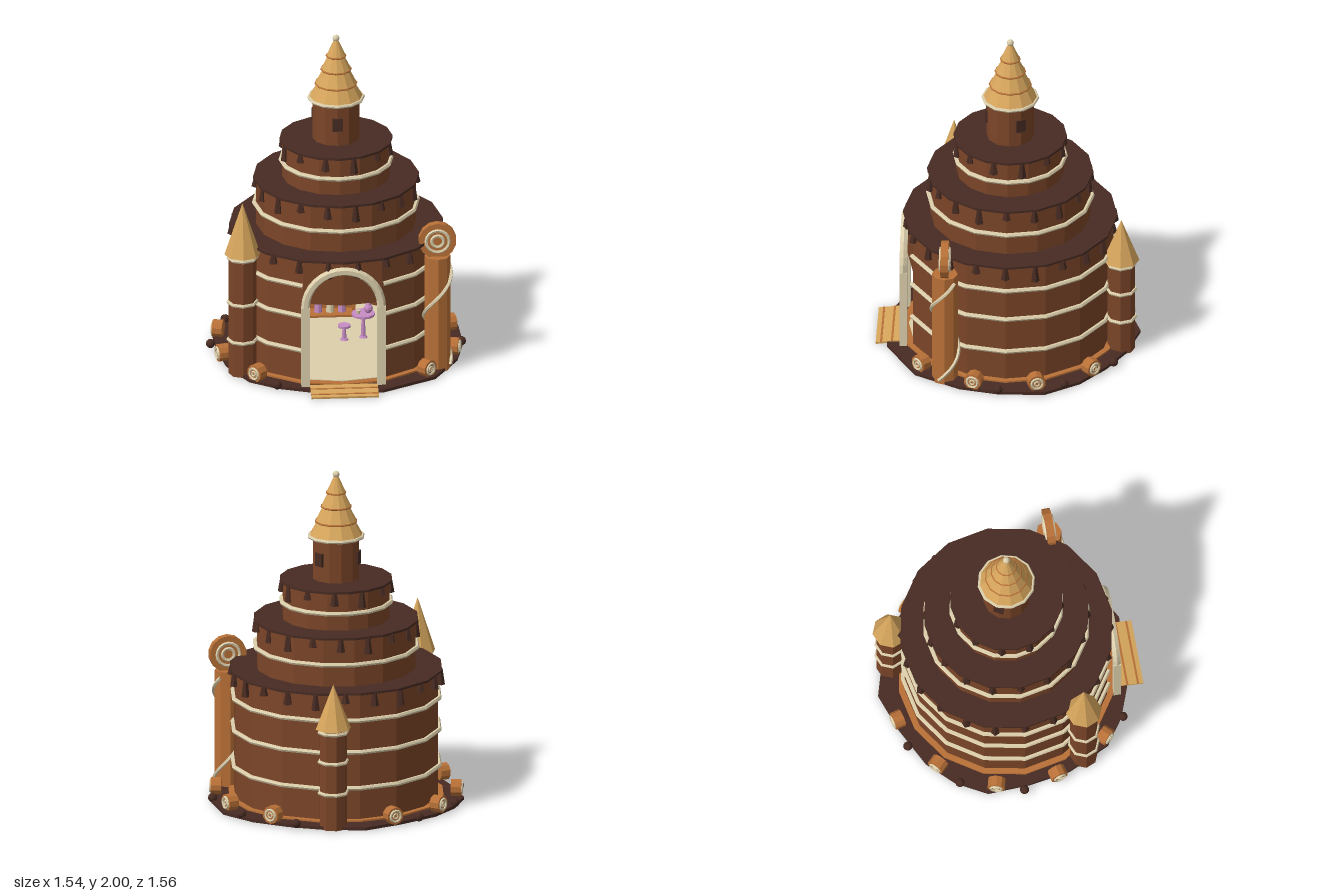
import * as THREE from 'three';

const mat = (name, color, double) => {
  const m = new THREE.MeshStandardMaterial({ color });
  m.name = name;
  if (double) m.side = THREE.DoubleSide;
  return m;
};

export function createModel() {
  const root = new THREE.Group();
  root.name = 'cakeTower';
  const choc = mat('milkChocolate', 0x7b4528, true);
  const dark = mat('darkChocolate', 0x472b22);
  const cream = mat('creamIcing', 0xdccfac);
  const caramel = mat('caramel', 0xb87037);
  const wafer = mat('wafer', 0xd6a55c);
  const pink = mat('pinkSugar', 0xc68cc4);
  const { PI, sin, cos } = Math;

  // Faceted mesh helper
  const add = (name, geo, material, x = 0, y = 0, z = 0, parent = root) => {
    const g = geo.index ? geo.toNonIndexed() : geo;
    g.computeVertexNormals();
    const m = new THREE.Mesh(g, material);
    m.name = name;
    m.position.set(x, y, z);
    parent.add(m);
    return m;
  };
  const group = (name, x, y, z, turn = 0) => {
    const g = new THREE.Group();
    g.name = name;
    g.position.set(x, y, z);
    g.rotation.y = turn;
    root.add(g);
    return g;
  };
  const cyl = (rTop, rBottom, h, n) => new THREE.CylinderGeometry(rTop, rBottom, h, n);
  const box = (w, h, d) => new THREE.BoxGeometry(w, h, d);
  // Horizontal icing ring, optionally open by two segments at the front
  const ring = (r, t, n, open) => {
    const gap = open ? PI / 8 : 0;
    return new THREE.TorusGeometry(r, t, 6, open ? n - 2 : n, 2 * PI - 2 * gap)
      .rotateZ(PI / 2 + gap).rotateX(PI / 2);
  };

  // Uneven chocolate puddle under everything
  const outline = [[0, -.77], [.24, -.7], [.43, -.59], [.61, -.44], [.74, -.24], [.75, .03], [.7, .27],
    [.55, .54], [.23, .72], [-.2, .69], [-.39, .62], [-.55, .51], [-.67, .26], [-.71, .01],
    [-.72, -.24], [-.62, -.42], [-.47, -.57], [-.23, -.69]];
  const puddle = new THREE.Shape(outline.map(([x, z]) => new THREE.Vector2(x, -z)));
  add('puddleBase', new THREE.ExtrudeGeometry(puddle, { depth: .018, bevelEnabled: false })
    .rotateX(-PI / 2), dark, 0, .002, 0);
  add('caramelBase', cyl(.645, .645, .03, 16), caramel, 0, .015, 0);
  add('floor', cyl(.6, .6, .004, 16), cream, 0, .032, 0);

  // Lowest tier: wall open at the doorway, with wall above the door
  add('lowerWall', new THREE.CylinderGeometry(.61, .61, .77, 14, 1, true, PI / 8, 2 * PI - PI / 4),
    choc, 0, .415, 0);
  add('doorLintelWall', new THREE.CylinderGeometry(.61, .61, .28, 2, 1, true, -PI / 8, PI / 4),
    choc, 0, .66, 0);
  for (const y of [.22, .44, .635]) add('lowerIcing', ring(.618, .014, 16, true), cream, 0, y, 0);

  // Upper tiers
  add('middleTier', cyl(.475, .475, .3, 16), choc, 0, .95, 0);
  add('middleIcing', ring(.485, .014, 16), cream, 0, .94, 0);
  add('topTier', cyl(.32, .32, .24, 16), choc, 0, 1.22, 0);
  add('topIcing', ring(.327, .014, 16), cream, 0, 1.21, 0);

  // Chocolate glaze lids with drips
  for (const [r, y, n] of [[.635, .8, 22], [.492, 1.1, 18], [.336, 1.34, 12]]) {
    add('glaze', cyl(r, r, .014, 16), dark, 0, y, 0);
    for (let i = 0; i < n; i++) {
      const a = (i + .5) / n * 2 * PI;
      const h = [.1, .055, .08][i % 3];
      add('drip', cyl(.013, .027, h, 5), dark, (r - .018) * sin(a), y - h / 2, (r - .018) * cos(a))
        .rotation.y = a;
    }
  }

  // Spire
  add('spireBody', cyl(.14, .14, .27, 12), choc, 0, 1.475, 0);
  for (let i = 0; i < 3; i++) {
    const a = i * 2 * PI / 3;
    add('window', box(.06, .08, .02), dark, .135 * sin(a), 1.48, .135 * cos(a)).rotation.y = a;
  }
  const roof = [[1.6, .165, 1.7, .108], [1.69, .126, 1.79, .075], [1.78, .092, 1.87, .047], [1.865, .06, 1.98, .008]];
  roof.forEach(([y0, r0, y1, r1], i) => {
    add('spireRoof', cyl(r1, r0, y1 - y0, 12), wafer, 0, (y0 + y1) / 2, 0);
    add('roofTrim', ring(r0 - .004, i ? .006 : .011, 12), i ? caramel : cream, 0, y0 + .004, 0);
  });
  add('finial', new THREE.IcosahedronGeometry(.021, 1), cream, 0, 1.98, 0);

  // Side turrets
  const turret = (x, z, h, tip, rings) => {
    const g = group('turret', x, 0, z);
    add('turretBody', cyl(.082, .082, h, 8), choc, 0, h / 2 + .002, 0, g);
    add('turretRoof', new THREE.ConeGeometry(.107, tip - h, 8), wafer, 0, (tip + h) / 2, 0, g);
    for (const y of rings) add('turretIcing', ring(.084, .012, 8), cream, 0, y, 0, g);
  };
  turret(-.58, .36, .765, 1.09, [.22, .46, .745]);
  turret(.175, -.665, .61, .88, [.22, .41, .59]);

  // Biscuit pillar with spiral icing and a round sweet on top
  const pillar = group('biscuitPillar', .575, 0, .36);
  add('pillarShaft', cyl(.077, .077, .72, 8), caramel, 0, .362, 0, pillar);
  const spiral = [];
  for (let y = .03; y <= .72; y += .03) {
    const a = (y - .48) / .55 * 2 * PI;
    spiral.push(new THREE.Vector3(.082 * sin(a), y, .082 * cos(a)));
  }
  add('spiralIcing', new THREE.TubeGeometry(new THREE.CatmullRomCurve3(spiral), 48, .011, 5),
    cream, 0, 0, 0, pillar);
  add('sweet', cyl(.112, .112, .046, 14).rotateX(PI / 2), caramel, 0, .82, 0, pillar);
  for (const s of [-1, 1]) for (const r of [.068, .035])
    add('sweetSwirl', new THREE.TorusGeometry(r, .01, 5, 16), cream, 0, .82, s * .024, pillar);

  // Biscuit rolls around the foot
  for (const deg of [45, 75, 105, 135, 195, 225, 255, 285, 315]) {
    const a = deg * PI / 180;
    const g = group('roll', .71 * sin(a), .062, .71 * cos(a), a);
    add('rollBody', cyl(.053, .053, .062, 10).rotateX(PI / 2), caramel, 0, 0, 0, g);
    add('rollIcing', new THREE.TorusGeometry(.033, .008, 5, 12), cream, 0, 0, .032, g);
    add('rollCentre', new THREE.TorusGeometry(.014, .006, 5, 8), cream, 0, 0, .032, g);
  }
  // Chocolate balls between the rolls
  for (const deg of [87, 118, 148, 208, 238, 268, 328]) {
    const a = deg * PI / 180;
    add('chocolateBall', new THREE.IcosahedronGeometry(.028, 1), dark, .742 * sin(a), .032, .742 * cos(a));
  }

  // Doorway arch
  for (const s of [-1, 1]) add('archPost', box(.05, .5, .044), cream, s * .225, .27, .622);
  add('arch', new THREE.TorusGeometry(.225, .026, 6, 16, PI), cream, 0, .52, .622);

  // Ramp of wafer slats
  const ramp = group('ramp', 0, .015, .715);
  ramp.rotation.x = .13;
  add('rampSlab', box(.4, .012, .145), wafer, 0, 0, 0, ramp);
  for (const z of [-.025, .04]) add('rampStripe', box(.4, .004, .012), caramel, 0, .006, z, ramp);

  // Open door leaf with raised frame
  const door = group('doorLeaf', -.215, .04, .36);
  add('doorPanel', box(.02, .47, .38), dark, 0, .235, 0, door);
  for (const z of [-.18, 0, .18]) add('doorStile', box(.03, .47, .02), choc, 0, .235, z, door);
  for (const y of [.01, .235, .46]) add('doorRail', box(.03, .02, .38), choc, 0, y, 0, door);

  // Shelf inside with jars
  const shelf = group('shelf', -.005, .034, -.42);
  add('shelfBack', box(.29, .305, .015), caramel, 0, .153, -.06, shelf);
  for (const s of [-1, 1]) add('shelfSide', box(.015, .305, .12), caramel, s * .138, .153, 0, shelf);
  for (const y of [.008, .15, .27, .3]) add('shelfBoard', box(.28, .013, .12), caramel, 0, y, 0, shelf);
  [-.07, 0, .07].forEach((x, i) => {
    add('jar', cyl(.02, .024, .06, 8), i === 1 ? pink : cream, x, .187, 0, shelf);
    add('jar', cyl(.02, .024, .06, 8), i === 1 ? cream : pink, x, .045, 0, shelf);
  });

  // Tea table and stool
  const place = (name, x, z, h, r) => {
    const g = group(name, x, .034, z);
    add(name + 'Top', cyl(r, r, .014, 12), pink, 0, h, 0, g);
    add(name + 'Leg', cyl(.01, .014, h, 8), pink, 0, h / 2, 0, g);
    add(name + 'Foot', cyl(.02, .026, .01, 8), pink, 0, .006, 0, g);
    return g;
  };
  const table = place('table', .165, -.05, .15, .07);
  add('teapot', new THREE.SphereGeometry(.028, 8, 6), pink, .03, .185, 0, table);
  add('teapotLid', cyl(.006, .018, .03, 8), pink, .03, .22, 0, table);
  add('cup', cyl(.014, .01, .022, 8), cream, -.03, .168, .01, table);
  place('stool', .05, -.02, .09, .038);

  return root;
}
